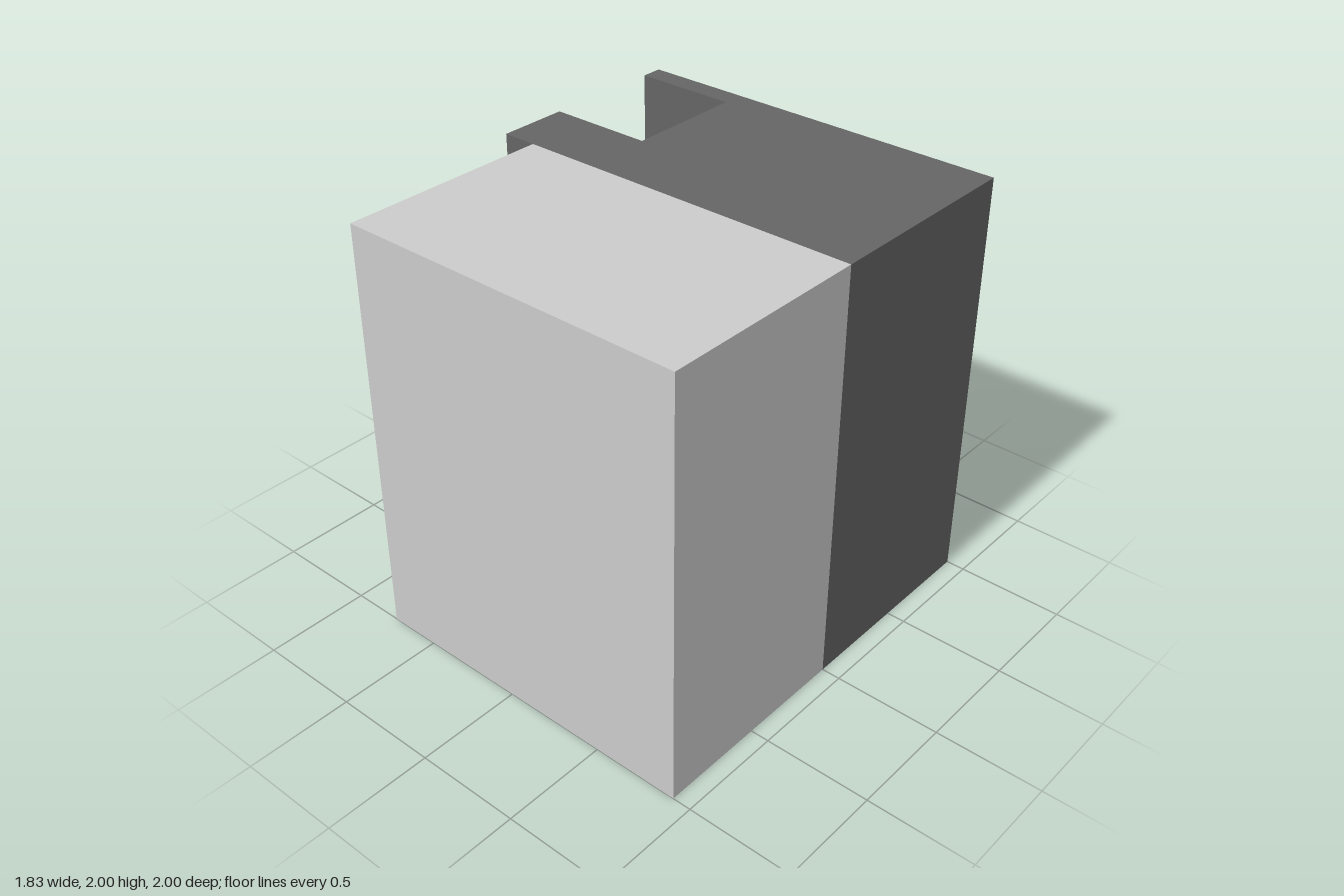
import * as THREE from 'three';

const light = new THREE.MeshStandardMaterial({ color: 0xcccccc });
const dark = new THREE.MeshStandardMaterial({ color: 0x656565 });
const yellow = new THREE.MeshStandardMaterial({ color: 0xc89a20 });

const H = 2, X = 0.913;                 // height and half width
const NOTCH = { x: -0.42, z0: -0.9, z1: -0.33 };

export function createModel() {
  const model = new THREE.Group();

  const add = (name, geometry, material) => {
    const mesh = new THREE.Mesh(geometry, material);
    mesh.name = name;
    model.add(mesh);
    return mesh;
  };
  // box given by its opposite corners
  const box = (name, material, [x0, y0, z0], [x1, y1, z1]) =>
    add(name, new THREE.BoxGeometry(x1 - x0, y1 - y0, z1 - z0)
      .translate((x0 + x1) / 2, (y0 + y1) / 2, (z0 + z1) / 2), material);
  const outline = (points) => points.map(([a, b]) => new THREE.Vector2(a, b));

  // front body: solid core plus a side skin with a window recess
  const skin = 0.06, sideX = -0.75;
  box('frontBody', light, [sideX + skin, 0, 0], [X, H, 1]);
  const side = new THREE.Shape(outline([[0, 0], [1, 0], [1, H], [0, H]]));
  side.holes.push(new THREE.Path(outline([[0.1, 1.34], [0.1, 1.71], [0.59, 1.71], [0.59, 1.34]])));
  add('sideSkin', new THREE.ExtrudeGeometry(side, { depth: skin, bevelEnabled: false })
    .rotateY(-Math.PI / 2).translate(sideX + skin, 0, 0), light);

  // rear body: notched plan, extruded upwards (plan y is -z)
  const plan = new THREE.Shape(outline([
    [-X, 0], [X, 0], [X, 1], [-X, 1],
    [-X, -NOTCH.z0], [NOTCH.x, -NOTCH.z0], [NOTCH.x, -NOTCH.z1], [-X, -NOTCH.z1],
  ]));
  add('rearBody', new THREE.ExtrudeGeometry(plan, { depth: H, bevelEnabled: false })
    .rotateX(-Math.PI / 2), dark);

  // cross panel between the notches, with the floor of the pit behind it
  box('crossPanel', dark, [-X, 0.935, NOTCH.z0], [-0.885, 1.61, NOTCH.z1]);
  box('pitFloor', dark, [-0.885, 0.935, NOTCH.z0], [NOTCH.x, 1.3, NOTCH.z1]);

  // small fittings on the inner wall
  box('pitPane', light, [NOTCH.x - 0.005, 1.34, -0.82], [NOTCH.x + 0.02, 1.76, NOTCH.z1 - 0.01]);
  box('lowerStrip', yellow, [NOTCH.x - 0.01, 0, -0.78], [NOTCH.x + 0.02, 0.03, -0.43]);

  return model;
}
